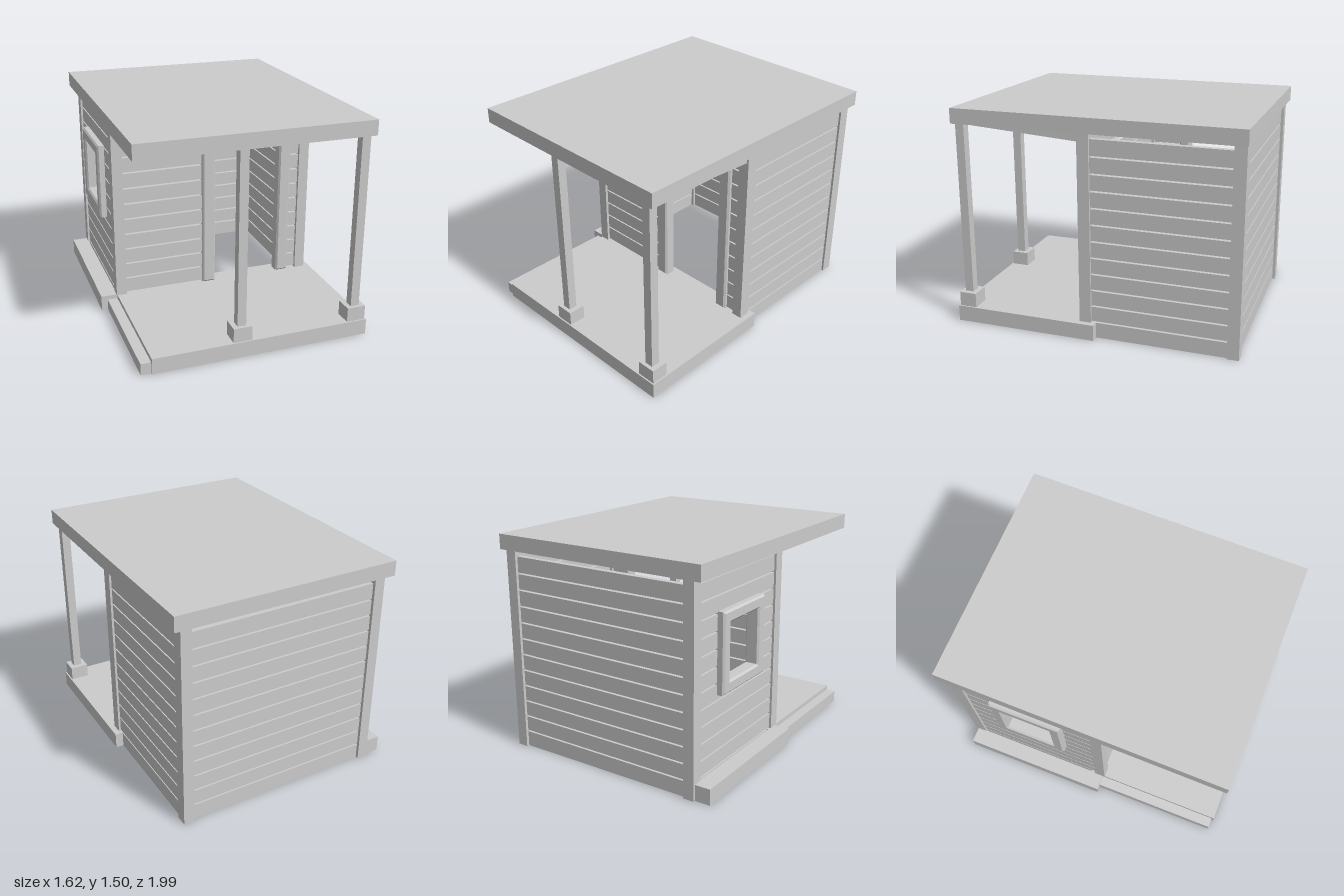
import * as THREE from 'three';

const material = new THREE.MeshStandardMaterial({ color: 0xcccccc, flatShading: true });

// Box given by its extents on each axis
function box(parent, name, [x0, x1], [y0, y1], [z0, z1]) {
  const mesh = new THREE.Mesh(new THREE.BoxGeometry(x1 - x0, y1 - y0, z1 - z0), material);
  mesh.position.set((x0 + x1) / 2, (y0 + y1) / 2, (z0 + z1) / 2);
  mesh.name = name;
  parent.add(mesh);
  return mesh;
}

const polygon = (points, Type = THREE.Shape) => new Type(points.map(([x, y]) => new THREE.Vector2(x, y)));

// Extruded trim with a chamfered edge, centred on its depth
function trim(name, shape, depth, bevel) {
  const geometry = new THREE.ExtrudeGeometry(shape, {
    depth: depth - 2 * bevel, bevelThickness: bevel, bevelSize: bevel, bevelSegments: 1,
  });
  geometry.translate(0, 0, bevel - depth / 2);
  const mesh = new THREE.Mesh(geometry, material);
  mesh.name = name;
  return mesh;
}

// Wall of spaced horizontal planks, cut around an optional opening
const PITCH = 0.1132, GAP = 0.011, ROWS = 12;
function plankWall(name, axis, [a, b], [t0, t1], firstRow = 0, opening = null) {
  const wall = new THREE.Group();
  wall.name = name;
  const plank = (u0, u1, y0, y1) => {
    if (u1 - u0 < 0.005 || y1 - y0 < 0.005) return;
    if (axis === 'x') box(wall, 'plank', [u0, u1], [y0, y1], [t0, t1]);
    else box(wall, 'plank', [t0, t1], [y0, y1], [u0, u1]);
  };
  for (let row = firstRow; row < ROWS; row++) {
    const y0 = row === 0 ? 0 : row * PITCH + GAP / 2;
    const y1 = (row + 1) * PITCH - (row === ROWS - 1 ? 0 : GAP / 2);
    if (!opening || y1 <= opening.y[0] || y0 >= opening.y[1]) {
      plank(a, b, y0, y1);
      continue;
    }
    const [u0, u1] = opening.u;
    plank(a, u0, y0, y1);
    plank(u1, b, y0, y1);
    plank(u0, u1, y0, opening.y[0]);
    plank(u0, u1, opening.y[1], y1);
  }
  return wall;
}

export function createModel() {
  const model = new THREE.Group();
  model.name = 'cabin';

  // Porch floor and the side beams along the left edge
  box(model, 'porchFloor', [-0.7, 0.805], [0, 0.11], [0, 1]);
  box(model, 'sideBeam', [-0.815, -0.7], [0, 0.11], [-0.955, 0.095]);
  box(model, 'porchEdgeBeam', [-0.77, -0.7], [0, 0.08], [0.095, 0.985]);

  // Corner posts of the room
  for (const x of [[-0.705, -0.63], [0.69, 0.765]]) {
    box(model, 'frontCornerPost', x, [0.11, 1.4], [0.03, 0.11]);
    box(model, 'backCornerPost', x, [0, 1.4], [-0.97, -0.89]);
  }

  // Porch posts on square footings
  for (const x of [-0.087, 0.73]) {
    box(model, 'postFooting', [x - 0.065, x + 0.065], [0.11, 0.21], [0.87, 0.99]);
    box(model, 'porchPost', [x - 0.03, x + 0.03], [0.21, 1.4], [0.905, 0.965]);
  }

  // Plank walls
  model.add(
    plankWall('backWall', 'x', [-0.63, 0.69], [-0.95, -0.91]),
    plankWall('rightWall', 'z', [-0.89, 0.03], [0.71, 0.75]),
    plankWall('leftWall', 'z', [-0.89, 0.03], [-0.69, -0.65], 0, { u: [-0.62, -0.24], y: [0.67, 1.08] }),
    plankWall('frontWall', 'x', [-0.63, 0.69], [0.05, 0.09], 1, { u: [0.0, 0.57], y: [0.11, 1.17] }),
  );

  // Door frame, open at the bottom
  const bevel = 0.012;
  const doorFrame = trim('doorFrame', polygon([
    [-0.043, 0.122], [0.028, 0.122], [0.028, 1.147], [0.542, 1.147],
    [0.542, 0.122], [0.608, 0.122], [0.608, 1.226], [-0.043, 1.226],
  ]), 0.09, bevel);
  doorFrame.position.z = 0.073;
  model.add(doorFrame);

  // Window frame in the left wall
  const rect = (w, h) => [[-w, -h], [w, -h], [w, h], [-w, h]];
  const windowShape = polygon(rect(0.243, 0.258));
  windowShape.holes.push(polygon(rect(0.187, 0.202), THREE.Path));
  const windowFrame = trim('windowFrame', windowShape, 0.1, bevel);
  windowFrame.rotation.y = -Math.PI / 2;
  windowFrame.position.set(-0.69, 0.875, -0.43);
  model.add(windowFrame);

  // Tapered brace under the right edge of the porch roof
  const brace = new THREE.Mesh(new THREE.ExtrudeGeometry(
    polygon([[-0.91, 1.4], [-0.91, 1.392], [-0.1, 1.335], [-0.1, 1.4]]),
    { depth: 0.04, bevelEnabled: false }), material);
  brace.rotation.y = Math.PI / 2;
  brace.position.x = 0.71;
  brace.name = 'roofBrace';
  model.add(brace);

  // Flat roof slab, very slightly askew
  const roof = box(model, 'roof', [-0.77, 0.803], [1.4, 1.503], [-0.988, 0.975]);
  roof.rotation.y = -0.006;

  return model;
}
